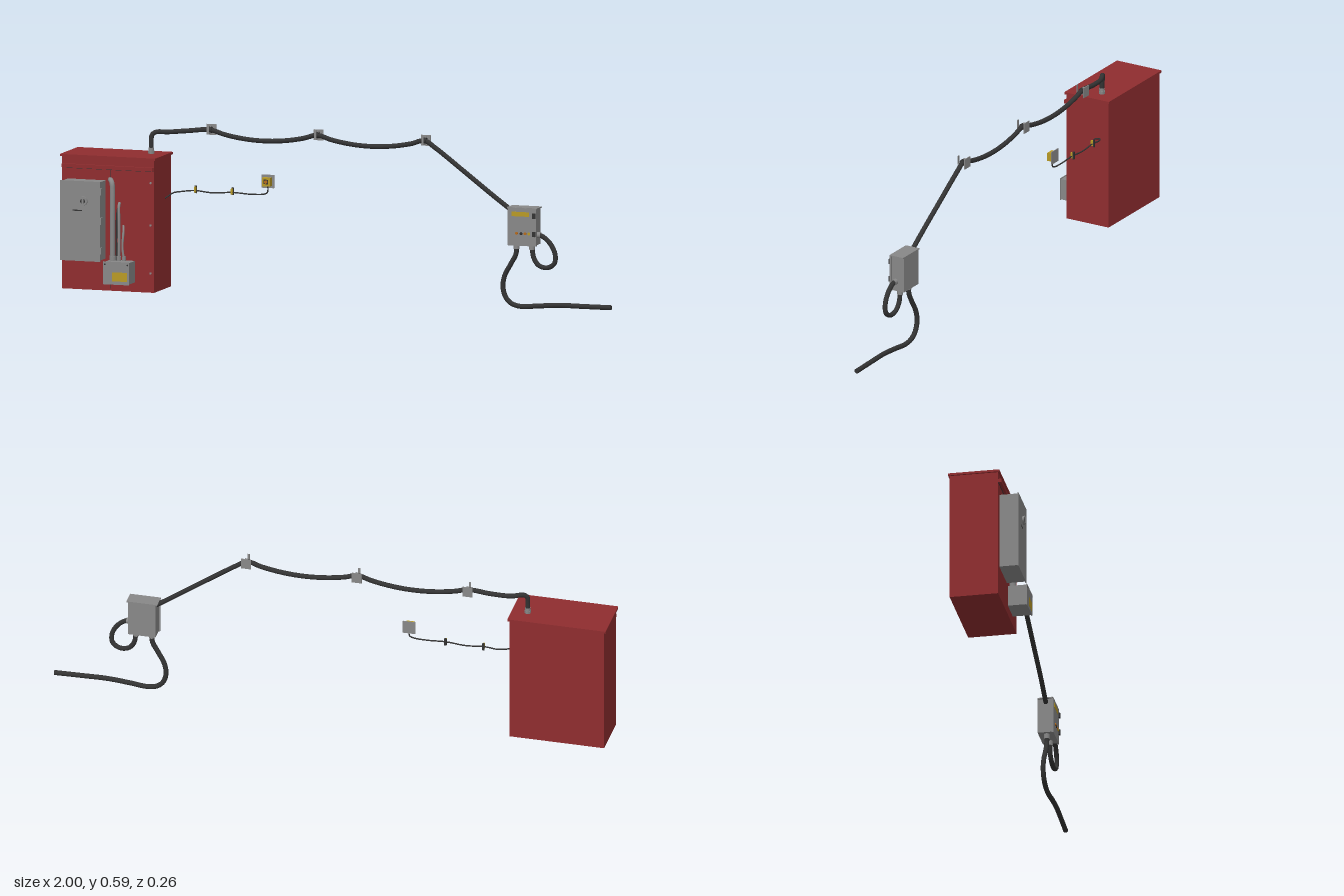
import * as THREE from 'three';

export function createModel() {
  const root = new THREE.Group();
  root.name = 'electricalInstallation';
  const mat = (name, color) => {
    const m = new THREE.MeshStandardMaterial({ color });
    m.name = name;
    return m;
  };
  const red = mat('cabinetRed', 0x8f2d2f);
  const grey = mat('enclosureGrey', 0x888888);
  const black = mat('cableBlack', 0x333333);
  const yellow = mat('labelYellow', 0xb89a26);
  const orange = mat('indicatorOrange', 0xb56a1c);

  const add = (name, geo, m, parent = root) => {
    const mesh = new THREE.Mesh(geo, m);
    mesh.name = name;
    parent.add(mesh);
    return mesh;
  };
  // Box given by its minimum and maximum corners
  const box = (name, m, x0, x1, y0, y1, z0, z1, parent) => {
    const g = new THREE.BoxGeometry(x1 - x0, y1 - y0, z1 - z0);
    g.translate((x0 + x1) / 2, (y0 + y1) / 2, (z0 + z1) / 2);
    return add(name, g, m, parent);
  };
  // Cylinder centred at a point along the chosen axis
  const cyl = (name, m, r, len, x, y, z, axis = 'y', parent = root, sides = 16) => {
    const g = new THREE.CylinderGeometry(r, r, len, sides);
    if (axis === 'x') g.rotateZ(Math.PI / 2);
    if (axis === 'z') g.rotateX(Math.PI / 2);
    g.translate(x, y, z);
    return add(name, g, m, parent);
  };
  const tube = (name, m, r, pts, segs = 60, parent = root) => {
    const curve = new THREE.CatmullRomCurve3(pts.map(p => new THREE.Vector3(...p)), false, 'centripetal');
    return add(name, new THREE.TubeGeometry(curve, segs, r, 12), m, parent);
  };
  const group = name => {
    const g = new THREE.Group();
    g.name = name;
    root.add(g);
    return g;
  };

  // Red cabinet with overhanging lid, drip rail and door seams
  const cab = group('cabinet');
  box('cabinetBody', red, -0.994, -0.651, 0.012, 0.482, -0.121, 0.052, cab);
  box('cabinetLid', red, -1, -0.645, 0.48, 0.488, -0.126, 0.057, cab);
  box('dripRail', red, -0.992, -0.653, 0.442, 0.455, 0.052, 0.063, cab);
  box('doorSeam', black, -0.813, -0.811, 0.02, 0.442, 0.052, 0.0528, cab);
  box('railShadowGap', black, -0.992, -0.653, 0.4395, 0.442, 0.052, 0.0535, cab);
  for (const y of [0.08, 0.25, 0.4]) {
    cyl('doorBolt', grey, 0.004, 0.004, -0.664, y, 0.053, 'z', cab, 10);
  }

  // Tall switch enclosure on the door
  const sw = group('switchEnclosure');
  box('switchBody', grey, -0.972, -0.832, 0.125, 0.402, 0.052, 0.117, sw);
  box('switchCover', grey, -0.976, -0.828, 0.122, 0.405, 0.117, 0.121, sw);
  cyl('rotarySwitch', grey, 0.016, 0.008, -0.89, 0.335, 0.124, 'z', sw, 20);
  cyl('rotarySwitchFace', black, 0.009, 0.001, -0.89, 0.335, 0.1282, 'z', sw);
  box('rotaryHandle', grey, -0.894, -0.886, 0.322, 0.348, 0.1275, 0.13, sw);
  box('switchMarking', black, -0.93, -0.895, 0.299, 0.303, 0.121, 0.1216, sw);
  for (const y of [0.16, 0.265, 0.37]) {
    box('coverLatch', grey, -0.83, -0.824, y - 0.012, y + 0.012, 0.104, 0.121, sw);
  }

  // Lower junction enclosure with label
  const jn = group('junctionEnclosure');
  box('junctionBody', grey, -0.814, -0.722, 0.046, 0.122, 0.052, 0.118, jn);
  box('junctionCover', grey, -0.816, -0.72, 0.044, 0.125, 0.118, 0.121, jn);
  box('junctionLabel', yellow, -0.782, -0.727, 0.056, 0.088, 0.121, 0.1218, jn);
  for (const x of [-0.81, -0.726]) {
    cyl('coverScrew', black, 0.003, 0.003, x, 0.115, 0.1215, 'z', jn, 8);
  }

  // Conduits running up the door from the junction enclosure
  const con = group('conduits');
  tube('mainConduit', grey, 0.009, [[-0.8, 0.122, 0.069], [-0.8, 0.25, 0.069], [-0.8, 0.37, 0.069],
    [-0.802, 0.395, 0.068], [-0.808, 0.404, 0.062], [-0.815, 0.405, 0.05]], 50, con);
  tube('flexHoseLong', grey, 0.005, [[-0.777, 0.122, 0.067], [-0.776, 0.2, 0.067], [-0.778, 0.28, 0.064],
    [-0.78, 0.315, 0.058], [-0.78, 0.325, 0.05]], 40, con);
  tube('flexHoseShort', grey, 0.004, [[-0.758, 0.122, 0.065], [-0.764, 0.17, 0.066], [-0.762, 0.22, 0.062],
    [-0.766, 0.245, 0.05]], 40, con);
  tube('doorCable', black, 0.003, [[-0.787, 0.122, 0.062], [-0.789, 0.2, 0.059], [-0.787, 0.29, 0.058],
    [-0.785, 0.31, 0.05]], 40, con);
  [[-0.8, 0.012], [-0.777, 0.008], [-0.758, 0.007]].forEach(([x, r]) =>
    cyl('conduitFitting', grey, r, 0.016, x, 0.13, 0.067, 'y', con));

  // Roof gland and the main cable, sagging between three wall hooks
  const main = group('mainCable');
  cyl('roofGlandBase', grey, 0.012, 0.01, -0.703, 0.493, -0.062, 'y', main, 6);
  cyl('roofGland', grey, 0.0095, 0.012, -0.703, 0.503, -0.062, 'y', main);
  const path = [[-0.703, 0.49, -0.062], [-0.703, 0.53, -0.063], [-0.702, 0.553, -0.066], [-0.69, 0.563, -0.072],
    [-0.65, 0.563, -0.09], [-0.58, 0.569, -0.102], [-0.5, 0.576, -0.105]];
  for (const x0 of [-0.5, -0.1]) {
    for (let i = 1; i <= 8; i++) {
      const t = i / 8;
      path.push([x0 + 0.4 * t, 0.576 - 0.03 * 4 * t * (1 - t), -0.105]);
    }
  }
  path.push([0.34, 0.553, -0.104], [0.45, 0.475, -0.099], [0.55, 0.403, -0.094], [0.632, 0.345, -0.092]);
  tube('hangingCable', black, 0.0085, path, 180, main);
  for (const x of [-0.5, -0.1, 0.3]) {
    const b = group('wallHook');
    box('hookPlate', grey, x - 0.018, x + 0.018, 0.556, 0.594, -0.122, -0.119, b);
    box('hookArm', grey, x - 0.004, x + 0.004, 0.563, 0.567, -0.12, -0.084, b);
    box('hookTip', grey, x - 0.004, x + 0.004, 0.563, 0.595, -0.086, -0.083, b);
    cyl('hookBolt', grey, 0.004, 0.012, x, 0.587, -0.114, 'z', b, 8);
    cyl('cableBand', black, 0.0105, 0.016, x, 0.576, -0.105, 'x', b);
  }

  // Wall-mounted isolator enclosure
  const iso = group('isolatorEnclosure');
  box('isolatorBody', grey, 0.628, 0.727, 0.23, 0.358, -0.121, -0.071, iso);
  box('isolatorDoor', grey, 0.624, 0.731, 0.227, 0.361, -0.071, -0.064, iso);
  box('isolatorRoof', grey, 0.622, 0.733, 0.358, 0.362, -0.121, -0.066, iso);
  box('warningLabel', yellow, 0.64, 0.705, 0.331, 0.347, -0.064, -0.0632, iso);
  for (const y of [0.27, 0.335]) {
    box('doorLatch', black, 0.717, 0.729, y - 0.009, y + 0.009, -0.064, -0.058, iso);
  }
  [[0.658, orange], [0.675, black], [0.69, orange], [0.704, yellow]].forEach(([x, m]) =>
    cyl('indicator', m, 0.005, 0.004, x, 0.271, -0.063, 'z', iso, 12));
  for (const x of [0.648, 0.705]) {
    cyl('cableGland', grey, 0.0105, 0.018, x, 0.221, -0.092, 'y', iso);
  }
  cyl('sideGland', grey, 0.0105, 0.014, 0.733, 0.265, -0.087, 'x', iso);

  // Side loop and ground cable from the isolator
  tube('loopCable', black, 0.0085, [[0.72, 0.267, -0.087], [0.745, 0.262, -0.086], [0.775, 0.238, -0.085],
    [0.794, 0.2, -0.085], [0.791, 0.168, -0.086], [0.765, 0.151, -0.088], [0.732, 0.157, -0.09],
    [0.712, 0.183, -0.092], [0.705, 0.225, -0.092]], 70);
  tube('groundCable', black, 0.0088, [[0.648, 0.228, -0.092], [0.646, 0.195, -0.092], [0.625, 0.155, -0.092],
    [0.603, 0.115, -0.094], [0.596, 0.075, -0.095], [0.607, 0.038, -0.094], [0.63, 0.017, -0.092],
    [0.665, 0.009, -0.09], [0.73, 0.014, -0.088], [0.81, 0.02, -0.088], [0.9, 0.02, -0.09], [1, 0.02, -0.093]], 110);
  cyl('groundCableEnd', black, 0.0088, 0.004, 0.998, 0.02, -0.093, 'x');

  // Thin sensor wire with two wall clips
  tube('sensorWire', black, 0.0025, [[-0.655, 0.33, -0.06], [-0.645, 0.337, -0.068], [-0.632, 0.348, -0.095],
    [-0.605, 0.352, -0.11], [-0.56, 0.357, -0.112], [-0.49, 0.352, -0.112], [-0.42, 0.357, -0.112],
    [-0.35, 0.354, -0.112], [-0.3, 0.357, -0.112], [-0.288, 0.364, -0.112], [-0.286, 0.388, -0.112]], 90);
  for (const x of [-0.557, -0.42]) {
    box('wireClipPlate', black, x - 0.004, x + 0.004, 0.347, 0.374, -0.121, -0.116);
    box('wireClip', yellow, x - 0.003, x + 0.003, 0.35, 0.37, -0.116, -0.107);
  }

  // Call point on its backing plate
  const call = group('callPoint');
  box('callPlate', grey, -0.312, -0.266, 0.378, 0.425, -0.122, -0.119, call);
  box('callBody', yellow, -0.304, -0.274, 0.386, 0.416, -0.119, -0.099, call);
  box('callWindow', black, -0.297, -0.281, 0.394, 0.41, -0.099, -0.0982, call);
  cyl('callButton', orange, 0.006, 0.004, -0.289, 0.402, -0.0965, 'z', call, 14);

  return root;
}
